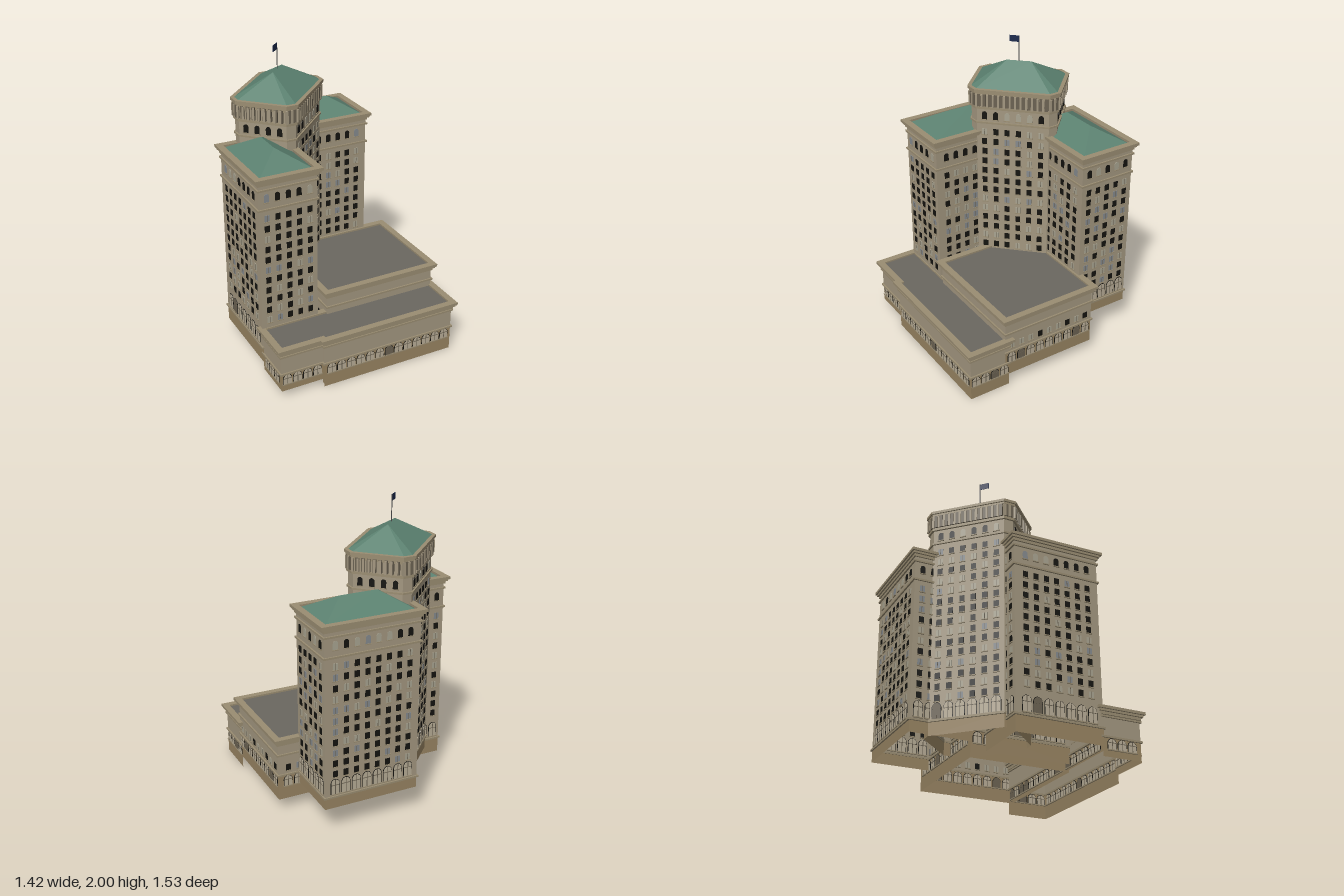
import * as THREE from 'three';
import { mergeGeometries } from 'three/addons/utils/BufferGeometryUtils.js';

const COLORS = {
  wall: 0xa39780, base: 0x988462, trim: 0x9a8d72, recess: 0x6b6252, glassDark: 0x14130f,
  glassPale: 0xa9a491, glassBlue: 0x858a8e, archPane: 0xb8ad97, flatRoof: 0x6b6760,
  hipRoof: 0x5b8170, pole: 0x4a4a4a, flag: 0x1c2a4c,
};

let seed = 7;
const rand = () => (seed = (seed * 16807) % 2147483647) / 2147483647;

// Collects geometry by colour and merges it into one mesh per colour.
class Part {
  constructor(name) { this.name = name; this.buckets = {}; }
  add(color, geo, matrix) {
    const g = geo.index ? geo.toNonIndexed() : geo;
    g.deleteAttribute('uv');
    if (matrix) g.applyMatrix4(matrix);
    (this.buckets[color] ??= []).push(g);
  }
  build() {
    const group = new THREE.Group();
    group.name = this.name;
    for (const [color, list] of Object.entries(this.buckets)) {
      const mat = new THREE.MeshStandardMaterial({ color: COLORS[color], side: THREE.DoubleSide });
      const mesh = new THREE.Mesh(mergeGeometries(list), mat);
      mesh.name = `${this.name} ${color}`;
      group.add(mesh);
    }
    return group;
  }
}

// Rectangle outline in plan, turned by angle, with optional chamfered corners.
function plan(cx, cz, angle, a, b, c = 0) {
  const pts = c
    ? [[-a + c, b], [a - c, b], [a, b - c], [a, c - b], [a - c, -b], [c - a, -b], [-a, c - b], [-a, b - c]]
    : [[-a, b], [a, b], [a, -b], [-a, -b]];
  return pts.map(([l, s]) => place(cx, cz, angle, l, s));
}
const place = (cx, cz, t, l, s) =>
  [cx + l * Math.cos(t) + s * Math.sin(t), cz - l * Math.sin(t) + s * Math.cos(t)];

// Moves every edge of an outline outward by d.
function offset(pts, d) {
  const n = pts.length;
  const normal = (p, q) => {
    const len = Math.hypot(q[0] - p[0], q[1] - p[1]);
    return [-(q[1] - p[1]) / len, (q[0] - p[0]) / len];
  };
  return pts.map((p, i) => {
    const m = normal(pts[(i + n - 1) % n], p), k = normal(p, pts[(i + 1) % n]);
    const f = d / (1 + m[0] * k[0] + m[1] * k[1]);
    return [p[0] + (m[0] + k[0]) * f, p[1] + (m[1] + k[1]) * f];
  });
}
const vec = (pts) => pts.map(([x, z]) => new THREE.Vector2(x, -z));

// Horizontal band around an outline.
function ring(part, pts, outer, inner, y0, y1) {
  const shape = new THREE.Shape(vec(offset(pts, outer)));
  shape.holes.push(new THREE.Path(vec(offset(pts, inner))));
  const g = new THREE.ExtrudeGeometry(shape, { depth: y1 - y0, bevelEnabled: false });
  part.add('trim', g.rotateX(-Math.PI / 2).translate(0, y0, 0));
}

// Projecting cornice in three steps, its top at y.
function cornice(part, pts, y, out = 0.03) {
  ring(part, pts, out, -0.014, y - 0.018, y);
  ring(part, pts, out * 0.65, -0.005, y - 0.032, y - 0.018);
  ring(part, pts, out * 0.3, -0.005, y - 0.05, y - 0.032);
}
function flatRoof(part, pts, y) {
  part.add('flatRoof', new THREE.ShapeGeometry(new THREE.Shape(vec(pts))).rotateX(-Math.PI / 2).translate(0, y, 0));
}

// Hipped roof: each eave edge rises to the nearer end of the ridge.
function hipRoof(part, [cx, cz, t, a, b, c], ridge, y0, y1) {
  const pts = plan(cx, cz, t, a, b, c);
  const v = [];
  const top = ([x, z]) => {
    const l = (x - cx) * Math.cos(t) - (z - cz) * Math.sin(t);
    const r = place(cx, cz, t, Math.sign(l) * ridge, 0);
    return [r[0], y1, r[1]];
  };
  pts.forEach((p, i) => {
    const q = pts[(i + 1) % pts.length], P = [p[0], y0, p[1]], Q = [q[0], y0, q[1]];
    const A = top(p), B = top(q);
    v.push(...P, ...Q, ...B);
    if (A[0] !== B[0] || A[2] !== B[2]) v.push(...P, ...B, ...A);
  });
  const g = new THREE.BufferGeometry();
  g.setAttribute('position', new THREE.Float32BufferAttribute(v, 3));
  g.computeVertexNormals();
  part.add('hipRoof', g);
}

function archGeometry(w, h, d) {
  const s = new THREE.Shape();
  s.moveTo(-w / 2, -h / 2).lineTo(w / 2, -h / 2).lineTo(w / 2, h / 2 - w / 2);
  s.absarc(0, h / 2 - w / 2, w / 2, 0, Math.PI, false);
  return new THREE.ExtrudeGeometry(s, { depth: d, bevelEnabled: false, curveSegments: 5 }).translate(0, 0, -d / 2);
}

// One wall between two plan points, with its rows of windows.
function wall(part, p, q, y0, y1, f) {
  const len = Math.hypot(q[0] - p[0], q[1] - p[1]);
  const m = new THREE.Matrix4().makeRotationY(Math.atan2(p[1] - q[1], q[0] - p[0]));
  m.setPosition((p[0] + q[0]) / 2, 0, (p[1] + q[1]) / 2);
  const panel = (color, a, b) => part.add(color, new THREE.PlaneGeometry(len, b - a).translate(0, (a + b) / 2, 0), m);
  panel('base', y0, f.baseTop);
  panel('wall', f.baseTop, y1);
  const each = (spacing, margin, fn) => {
    const n = Math.floor((len - margin) / spacing + 0.3);
    for (let i = 0; i < n; i++) fn((i - (n - 1) / 2) * spacing);
  };
  const box = (color, w, h, d, x, y) => part.add(color, new THREE.BoxGeometry(w, h, d).translate(x, y, 0), m);
  const pane = () => { const r = rand(); return r < 0.66 ? 'glassDark' : r < 0.88 ? 'glassPale' : 'glassBlue'; };
  if (f.slots) each(0.037, 0, (x) => box('recess', 0.02, 0.085, 0.034, x, f.slots));
  if (len < 0.1) return;
  for (const y of f.rows ?? []) each(f.spacing, 0.03, (x) => {
    const color = pane();
    box(color, 0.033, 0.042, 0.006, x, y);
    box('trim', 0.042, 0.006, 0.014, x, y - 0.024);
    if (color !== 'glassDark') box('recess', 0.003, 0.042, 0.009, x, y);
  });
  if (f.topArch) each(f.spacing, 0.03, (x) => {
    part.add(pane(), archGeometry(0.033, 0.055, 0.006).translate(x, f.topArch, 0), m);
    box('trim', 0.042, 0.006, 0.014, x, f.topArch - 0.03);
  });
  // Ground floor arcade with mullions
  if (f.arch) each(f.arch.spacing, 0.02, (x) => {
    const { y, w, h } = f.arch;
    part.add('glassDark', archGeometry(w + 0.007, h + 0.006, 0.006).translate(x, y, 0), m);
    part.add(rand() < 0.12 ? 'recess' : 'archPane', archGeometry(w, h, 0.01).translate(x, y, 0), m);
    box('recess', 0.004, h, 0.013, x, y);
    box('recess', w, 0.004, 0.013, x, y + h * 0.12);
    box('trim', w + 0.012, 0.007, 0.016, x, y - h / 2 - 0.004);
  });
}

function block(name, pts, bottoms, top, facade) {
  const part = new Part(name);
  pts.forEach((p, i) => wall(part, p, pts[(i + 1) % pts.length], bottoms[i % bottoms.length], top, facade));
  for (const y of facade.belts ?? []) ring(part, pts, 0.01, -0.004, y - 0.006, y + 0.006);
  return part;
}
const rowsFrom = (top, count) => Array.from({ length: count }, (_, i) => top - i * 0.0713);

export function createModel() {
  const model = new THREE.Group();
  model.name = 'hotelBuilding';
  const site = new THREE.Group();
  site.name = 'site';
  site.rotation.y = 0.153;
  model.add(site);

  // Two wings with hipped roofs
  const wings = [
    ['northWing', [0.117, -0.4775, 0, 0.323, 0.1975], 0.18, 0.26, 0.33],
    ['westWing', [-0.46, 0.086, Math.PI / 2, 0.291, 0.195], 0.11, 0.22, 0.29],
  ];
  for (const [name, [cx, cz, t, a, b], bottom, baseTop, archY] of wings) {
    const pts = plan(cx, cz, t, a, b);
    const part = block(name, pts, [bottom], 1.37, {
      baseTop, rows: rowsFrom(1.13, 11), spacing: 0.072, topArch: 1.265,
      arch: { y: archY, w: 0.054, h: 0.1, spacing: 0.073 }, belts: [baseTop, 1.19, 1.32],
    });
    cornice(part, pts, 1.4);
    flatRoof(part, pts, 1.385);
    hipRoof(part, [cx, cz, t, a - 0.02, b - 0.02], a - b, 1.388, 1.49);
    site.add(part.build());
  }

  // Central tower, set diagonally, with a pillared top storey
  const [tx, tz, tt] = [-0.231, -0.243, Math.PI / 4];
  const towerPlan = plan(tx, tz, tt, 0.283, 0.203, 0.045);
  const tower = block('tower', towerPlan, [0.17], 1.67, {
    baseTop: 0.26, rows: rowsFrom(1.4, 15), spacing: 0.075, topArch: 1.515, slots: 1.625,
    arch: { y: 0.32, w: 0.054, h: 0.1, spacing: 0.075 }, belts: [0.26, 1.465],
  });
  ring(tower, towerPlan, 0.012, -0.004, 1.562, 1.58);
  for (let i = 0; i < towerPlan.length; i++) {
    // Pillars between the slots
    const p = towerPlan[i], q = towerPlan[(i + 1) % towerPlan.length];
    const len = Math.hypot(q[0] - p[0], q[1] - p[1]);
    const n = Math.max(1, Math.round(len / 0.037));
    for (let k = 0; k < n; k++) {
      const s = k / n;
      const g = new THREE.BoxGeometry(0.014, 0.085, 0.04).rotateY(Math.atan2(p[1] - q[1], q[0] - p[0]));
      tower.add('wall', g.translate(p[0] + (q[0] - p[0]) * s, 1.622, p[1] + (q[1] - p[1]) * s));
    }
  }
  cornice(tower, towerPlan, 1.7, 0.024);
  hipRoof(tower, [tx, tz, tt, 0.29, 0.21, 0.045], 0.08, 1.695, 1.83);
  site.add(tower.build());

  // Flagpole and flag
  const pole = new Part('flagpole');
  pole.add('pole', new THREE.CylinderGeometry(0.003, 0.003, 0.19, 8).translate(tx, 1.905, tz));
  pole.add('flag', new THREE.BoxGeometry(0.064, 0.042, 0.003).translate(-0.032, 1.978, 0)
    .rotateY(0.75).translate(tx, 0, tz));
  site.add(pole.build());

  // Podium filling the angle between the wings
  const podiumPlan = plan(0.189, 0.0575, 0, 0.394, 0.3375);
  const podium = block('podium', podiumPlan, [0.08], 0.5, {
    baseTop: 0.255, rows: [0.305], spacing: 0.072,
    arch: { y: 0.21, w: 0.054, h: 0.07, spacing: 0.073 }, belts: [0.255, 0.4],
  });
  cornice(podium, podiumPlan, 0.52);
  flatRoof(podium, podiumPlan, 0.508);
  site.add(podium.build());

  // Low front range with a shallow step in its facade
  const lowPlan = [[-0.65, 0.635], [-0.36, 0.635], [-0.36, 0.655], [0.583, 0.655], [0.583, 0.37], [-0.65, 0.37]];
  const low = block('frontRange', lowPlan, [0.045, 0.02, 0, 0, 0.08, 0.05], 0.34, {
    baseTop: 0.172, arch: { y: 0.13, w: 0.056, h: 0.065, spacing: 0.07 }, belts: [0.172, 0.3],
  });
  cornice(low, lowPlan, 0.36);
  flatRoof(low, lowPlan, 0.348);
  site.add(low.build());

  return model;
}
